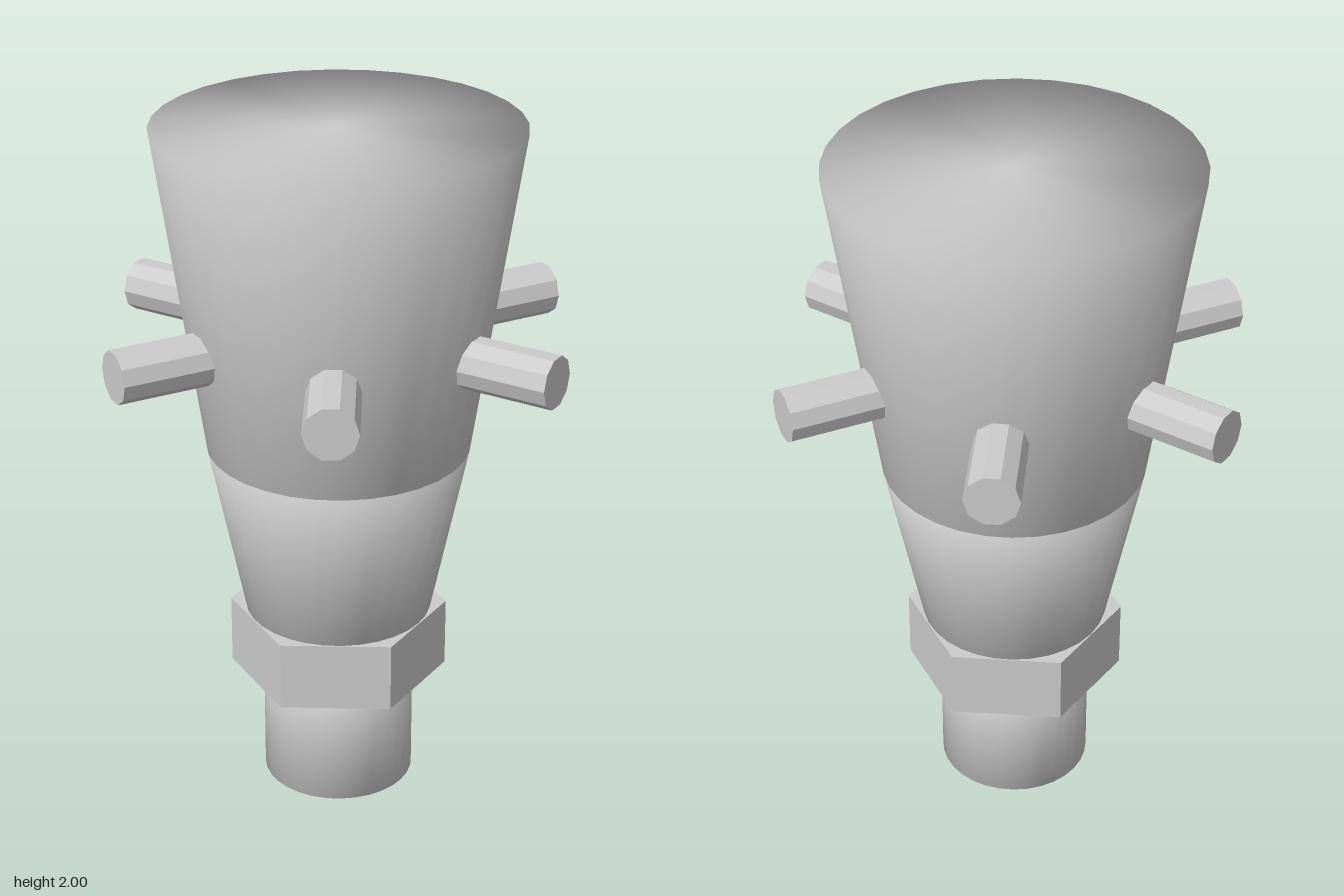
import * as THREE from 'three';
import { mergeVertices } from 'three/addons/utils/BufferGeometryUtils.js';

const SIDES = 32;

export function createModel() {
  const model = new THREE.Group();
  model.name = 'peggedTaperedFitting';
  const smooth = new THREE.MeshStandardMaterial({ color: 0xcccccc });
  const faceted = new THREE.MeshStandardMaterial({ color: 0xcccccc, flatShading: true });

  // Closed round section between two heights, with normals blended over its rims
  function roundSection(name, y0, r0, y1, r1) {
    let geometry = new THREE.CylinderGeometry(r1, r0, y1 - y0, SIDES);
    geometry.deleteAttribute('uv');
    geometry.deleteAttribute('normal');
    geometry = mergeVertices(geometry);
    geometry.computeVertexNormals();
    const mesh = new THREE.Mesh(geometry, smooth);
    mesh.name = name;
    mesh.position.y = (y0 + y1) / 2;
    model.add(mesh);
  }

  roundSection('shank', 0, 0.22, 0.345, 0.22);
  roundSection('lowerCone', 0.55, 0.27, 1.065, 0.375);
  roundSection('upperCone', 1.065, 0.375, 2, 0.512);

  // Hexagonal collar, corners towards front and back
  const collar = new THREE.Mesh(new THREE.CylinderGeometry(0.315, 0.315, 0.205, 6), faceted);
  collar.name = 'hexCollar';
  collar.position.y = 0.4475;
  model.add(collar);

  // Ring of six radial pegs
  const inner = 0.3, outer = 0.68;
  const pegGeometry = new THREE.CylinderGeometry(0.075, 0.075, outer - inner, 10);
  pegGeometry.rotateZ(-Math.PI / 2);
  pegGeometry.translate((inner + outer) / 2, 0, 0);
  const pegs = new THREE.Group();
  pegs.name = 'pegs';
  pegs.position.y = 1.405;
  for (let i = 0; i < 6; i++) {
    const peg = new THREE.Mesh(pegGeometry, faceted);
    peg.name = `peg${i + 1}`;
    peg.rotation.y = (i * Math.PI) / 3;
    pegs.add(peg);
  }
  model.add(pegs);

  return model;
}
